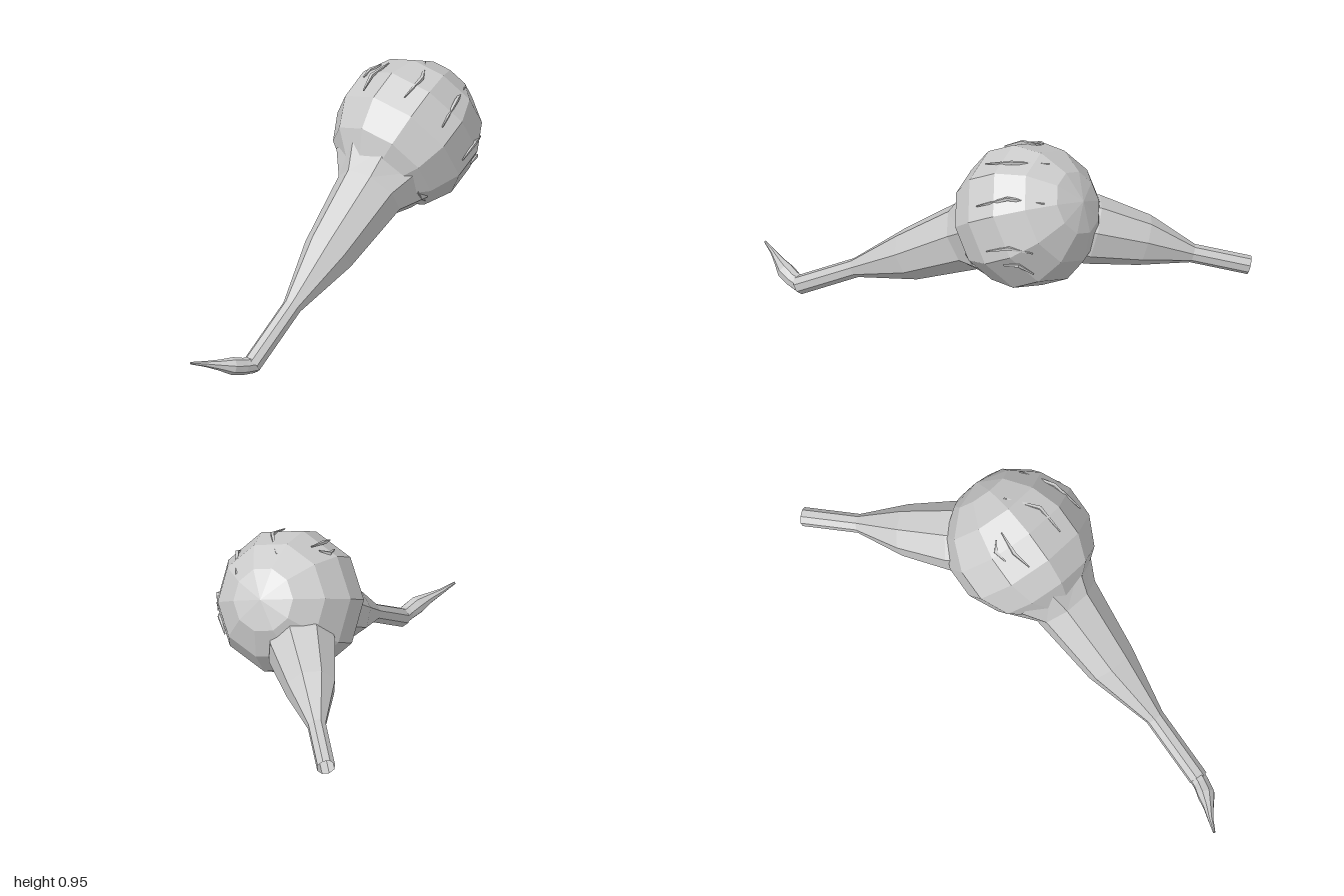
import * as THREE from 'three';

const material = new THREE.MeshStandardMaterial({ color: 0xcccccc, flatShading: true, side: THREE.DoubleSide });
const centre = new THREE.Vector3(0.295, 0.663, 0.148);
const radius = 0.3;

// Skin of round cross-sections; each section is [x, y, z, radius].
function loft(name, sections, sides) {
  const points = sections.map(([x, y, z]) => new THREE.Vector3(x, y, z));
  const positions = [];
  const index = [];
  points.forEach((p, i) => {
    const before = points[Math.max(i - 1, 0)];
    const after = points[Math.min(i + 1, points.length - 1)];
    const along = after.clone().sub(before).normalize();
    const across = new THREE.Vector3(0, 1, 0).cross(along).normalize();
    const up = along.clone().cross(across);
    for (let k = 0; k < sides; k++) {
      const a = ((k + 0.5) / sides) * Math.PI * 2;
      const v = p.clone()
        .addScaledVector(across, Math.cos(a) * sections[i][3])
        .addScaledVector(up, Math.sin(a) * sections[i][3]);
      positions.push(v.x, v.y, v.z);
      if (i === 0) continue;
      const n = (k + 1) % sides;
      const lo = (i - 1) * sides;
      const hi = i * sides;
      index.push(lo + k, lo + n, hi + n, lo + k, hi + n, hi + k);
    }
  });
  const geometry = new THREE.BufferGeometry();
  geometry.setAttribute('position', new THREE.Float32BufferAttribute(positions, 3));
  geometry.setIndex(index);
  geometry.computeVertexNormals();
  const mesh = new THREE.Mesh(geometry, material);
  mesh.name = name;
  return mesh;
}

// Thin crease that follows the ball, given as points near its surface.
function crease(name, path) {
  const onBall = path.map(([x, y, z]) =>
    new THREE.Vector3(x, y, z).sub(centre).setLength(radius * 0.975).add(centre));
  const last = onBall.length - 1;
  return loft(name, onBall.map((p, i) => [p.x, p.y, p.z, i === 0 || i === last ? 0.003 : 0.009]), 4);
}

export function createModel() {
  const model = new THREE.Group();

  // Faceted ball with its pole opposite the long leg
  const body = new THREE.Mesh(new THREE.SphereGeometry(radius, 10, 7), material);
  body.name = 'body';
  body.position.copy(centre);
  body.quaternion.setFromUnitVectors(
    new THREE.Vector3(0, 1, 0), new THREE.Vector3(0.87, 0.47, -0.05).normalize());
  model.add(body);

  // Long leg flowing out of the ball
  model.add(loft('rightLeg', [
    [0.125, 0.55, 0.165, 0.21],
    [0.03, 0.5, 0.18, 0.142],
    [-0.24, 0.333, 0.2, 0.106],
    [-0.49, 0.2, 0.23, 0.039],
    [-0.755, 0.042, 0.248, 0.039],
  ], 8));

  // Pointed foot
  model.add(loft('rightFoot', [
    [-0.74, 0.043, 0.248, 0.035],
    [-0.79, 0.05, 0.24, 0.034],
    [-0.84, 0.064, 0.224, 0.036],
    [-0.89, 0.079, 0.198, 0.022],
    [-0.94, 0.093, 0.17, 0.012],
    [-1, 0.11, 0.143, 0.005],
  ], 8));

  // Short leg with an open end
  model.add(loft('leftLeg', [
    [0.4, 0.62, 0.05, 0.13],
    [0.49, 0.585, -0.02, 0.142],
    [0.65, 0.527, -0.155, 0.104],
    [0.803, 0.463, -0.272, 0.038],
    [0.978, 0.4, -0.417, 0.038],
  ], 8));

  // Surface creases over the crown and face
  const creases = [
    [[0.11, 0.9, 0.06], [0.19, 0.93, 0.04], [0.29, 0.95, 0.05]],
    [[0.18, 0.93, -0.02], [0.24, 0.94, -0.03], [0.28, 0.95, 0.01]],
    [[0.15, 0.92, 0.26], [0.28, 0.94, 0.24], [0.4, 0.93, 0.15]],
    [[0.22, 0.8, 0.41], [0.35, 0.86, 0.37], [0.48, 0.84, 0.29]],
    [[0.3, 0.63, 0.44], [0.4, 0.67, 0.43], [0.48, 0.65, 0.37]],
    [[0.37, 0.58, 0.42], [0.43, 0.59, 0.4], [0.47, 0.54, 0.35]],
    [[0.13, 0.52, 0.35], [0.17, 0.48, 0.33], [0.25, 0.42, 0.3]],
  ];
  creases.forEach((path, i) => model.add(crease(`crease${i + 1}`, path)));

  return model;
}
